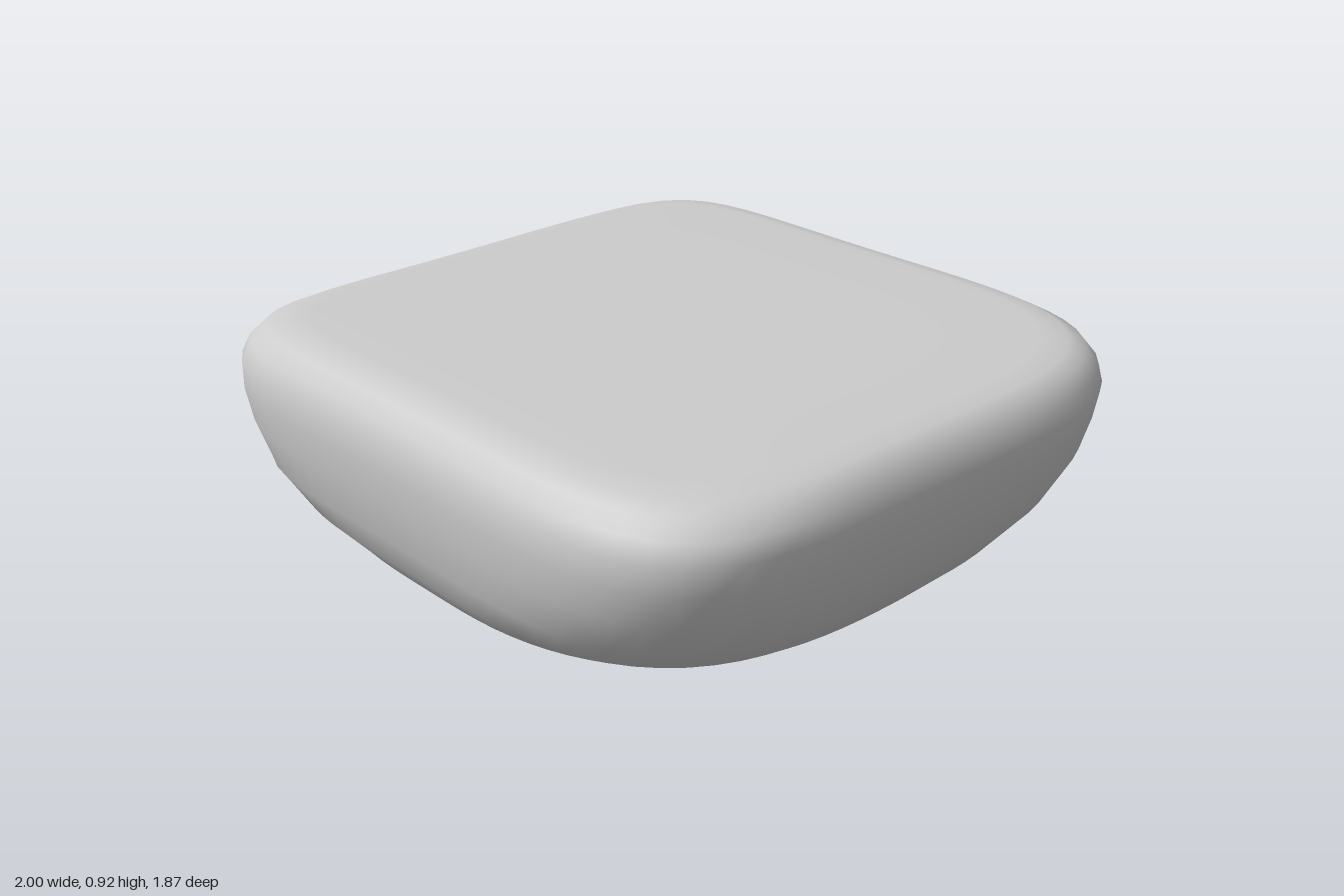
import * as THREE from 'three';

// Cross-sections from the underside tip to the flat top: [y, left x, right x, back z, front z, squareness 0..1]
const LEVELS = [
  [0.00, -0.24, -0.15, -0.19, -0.10, 0],
  [0.02, -0.41, 0.06, -0.30, 0.15, 0],
  [0.06, -0.50, 0.21, -0.43, 0.34, 0],
  [0.11, -0.61, 0.38, -0.56, 0.49, 0],
  [0.17, -0.73, 0.53, -0.70, 0.62, 0.01],
  [0.24, -0.83, 0.65, -0.79, 0.72, 0.05],
  [0.32, -0.92, 0.77, -0.86, 0.81, 0.16],
  [0.40, -0.965, 0.85, -0.91, 0.87, 0.36],
  [0.50, -0.99, 0.92, -0.93, 0.91, 0.62],
  [0.62, -0.995, 0.97, -0.935, 0.93, 0.85],
  [0.72, -1.00, 0.99, -0.94, 0.94, 0.95],
  [0.80, -1.00, 1.00, -0.94, 0.935, 1],
  [0.85, -0.985, 0.985, -0.93, 0.91, 1],
  [0.89, -0.95, 0.95, -0.905, 0.875, 1],
  [0.91, -0.91, 0.91, -0.87, 0.83, 0.95],
  [0.917, -0.85, 0.84, -0.82, 0.77, 0.9],
  [0.918, -0.60, 0.60, -0.58, 0.54, 0.8],
  [0.918, -0.30, 0.30, -0.29, 0.27, 0.7],
];
const SEGMENTS = 96;

// Each corner has its own roundness at the rim and on the underside
function cornerPower(c, s, square) {
  const [low, high] = c > 0 ? (s > 0 ? [2.05, 4.9] : [2, 4.3]) : (s > 0 ? [2.5, 7.5] : [2.15, 7.2]);
  return low + (high - low) * square;
}

function rockGeometry() {
  const positions = [], index = [];
  for (const [y, x0, x1, z0, z1, square] of LEVELS) {
    for (let i = 0; i < SEGMENTS; i++) {
      const a = (i / SEGMENTS) * Math.PI * 2;
      const c = Math.cos(a), s = Math.sin(a);
      const n = cornerPower(c, s, square);
      const r = Math.pow(Math.abs(c) ** n + Math.abs(s) ** n, -1 / n);
      positions.push((x0 + x1) / 2 + (x1 - x0) / 2 * r * c, y, (z0 + z1) / 2 + (z1 - z0) / 2 * r * s);
    }
  }
  // Walls between neighbouring cross-sections
  for (let k = 0; k < LEVELS.length - 1; k++) {
    for (let i = 0; i < SEGMENTS; i++) {
      const j = (i + 1) % SEGMENTS;
      const a = k * SEGMENTS + i, b = k * SEGMENTS + j;
      index.push(a, a + SEGMENTS, b, b, a + SEGMENTS, b + SEGMENTS);
    }
  }
  // Close the tip and the top with one centre point each
  const tip = positions.length / 3, top = tip + 1;
  const last = (LEVELS.length - 1) * SEGMENTS;
  positions.push(-0.2, 0, -0.15, 0, 0.918, 0);
  for (let i = 0; i < SEGMENTS; i++) {
    const j = (i + 1) % SEGMENTS;
    index.push(tip, i, j, top, last + j, last + i);
  }
  // Gentle unevenness along the sides
  for (let v = 0; v < positions.length; v += 3) {
    const x = positions[v], z = positions[v + 2];
    positions[v] = x * (1 - 0.004 * (1 + Math.sin(6 * z + 0.5)));
    positions[v + 2] = z * (1 - 0.004 * (1 + Math.sin(5 * x + 2)));
  }
  const geometry = new THREE.BufferGeometry();
  geometry.setAttribute('position', new THREE.Float32BufferAttribute(positions, 3));
  geometry.setIndex(index);
  geometry.computeVertexNormals();
  return geometry;
}

export function createModel() {
  const model = new THREE.Group();
  model.name = 'flatToppedRock';
  const rock = new THREE.Mesh(rockGeometry(), new THREE.MeshStandardMaterial({ color: 0xcccccc }));
  rock.name = 'rock';
  model.add(rock);
  return model;
}
